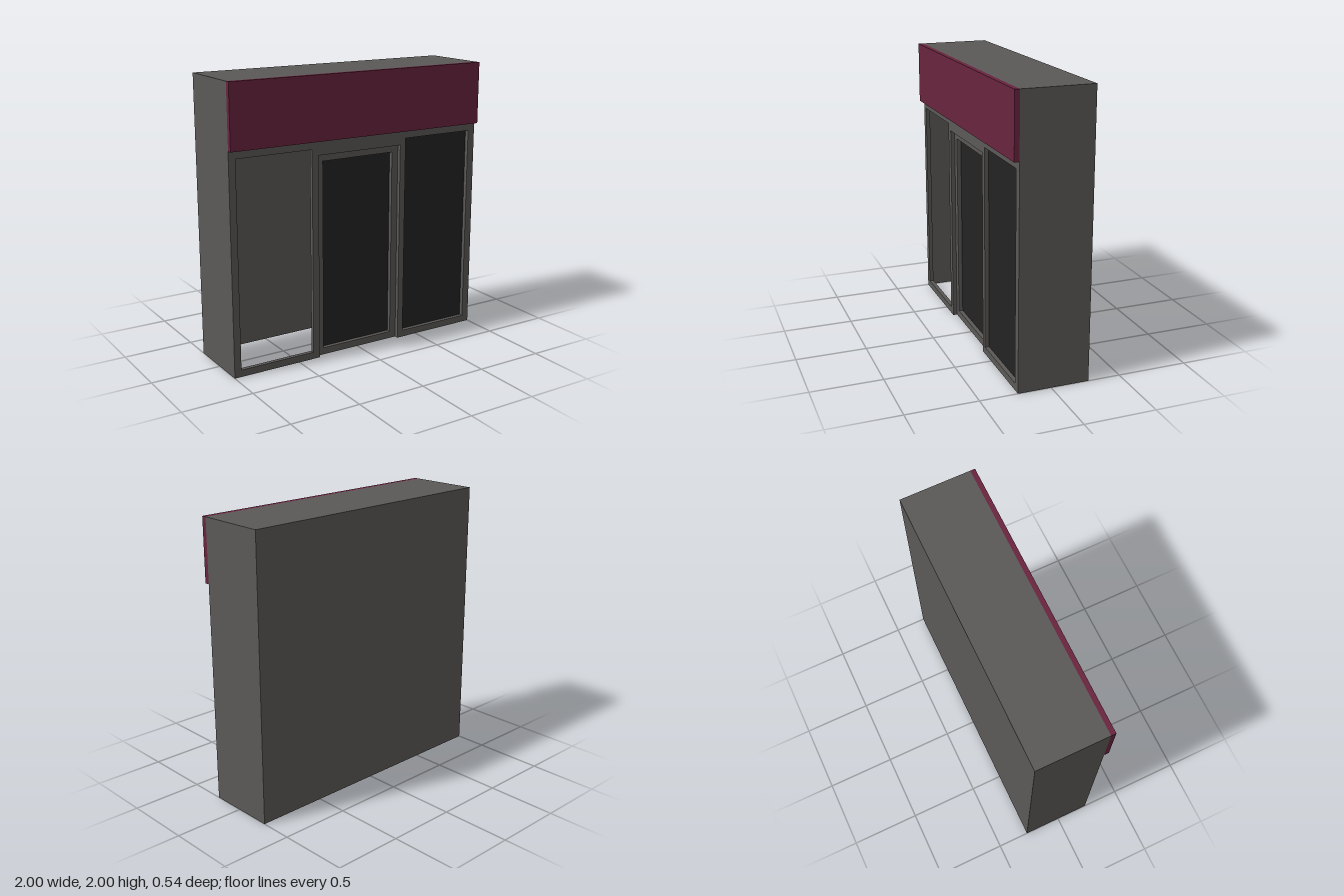
import * as THREE from 'three';

export function createModel() {
  const group = new THREE.Group();
  const wall = new THREE.MeshStandardMaterial({ name: 'grey wall', color: 0x5b5957, side: THREE.DoubleSide });
  const sign = new THREE.MeshStandardMaterial({ name: 'burgundy sign', color: 0x69243e });
  const glass = new THREE.MeshStandardMaterial({ name: 'dark glass', color: 0x232323, side: THREE.DoubleSide });

  const FRONT = 0.235, BACK = -0.27, RECESS = 0.03;
  const DEPTH = FRONT - BACK, MID = (FRONT + BACK) / 2;

  const add = (name, geometry, material, x = 0, y = 0, z = 0, rx = 0, ry = 0) => {
    const mesh = new THREE.Mesh(geometry, material);
    mesh.name = name;
    mesh.position.set(x, y, z);
    mesh.rotation.set(rx, ry, 0);
    group.add(mesh);
    return mesh;
  };

  // Rectangles are [x0, y0, x1, y1]
  const corners = ([x0, y0, x1, y1]) =>
    [[x0, y0], [x1, y0], [x1, y1], [x0, y1]].map(([x, y]) => new THREE.Vector2(x, y));

  // Flat sheet with rectangular openings
  const sheet = (name, outline, holes, z) => {
    const shape = new THREE.Shape(outline);
    for (const h of holes) shape.holes.push(new THREE.Path(corners(h).reverse()));
    add(name, new THREE.ShapeGeometry(shape), wall, 0, 0, z);
  };

  // Inward-facing sides of an opening, running back from z by the recess depth
  const reveal = (name, [x0, y0, x1, y1], z, withSill = true) => {
    const w = x1 - x0, h = y1 - y0, cx = (x0 + x1) / 2, cy = (y0 + y1) / 2, cz = z - RECESS / 2;
    const q = Math.PI / 2;
    add(name + 'SideA', new THREE.PlaneGeometry(RECESS, h), wall, x0, cy, cz, 0, q);
    add(name + 'SideB', new THREE.PlaneGeometry(RECESS, h), wall, x1, cy, cz, 0, -q);
    add(name + 'Head', new THREE.PlaneGeometry(w, RECESS), wall, cx, y1, cz, q);
    if (withSill) add(name + 'Sill', new THREE.PlaneGeometry(w, RECESS), wall, cx, y0, cz, -q);
  };

  const pane = (name, [x0, y0, x1, y1], z) =>
    add(name, new THREE.PlaneGeometry(x1 - x0, y1 - y0), glass, (x0 + x1) / 2, (y0 + y1) / 2, z);

  // Hollow shell, open underneath
  add('backWall', new THREE.PlaneGeometry(2, 2), wall, 0, 1, BACK, 0, Math.PI);
  add('leftWall', new THREE.PlaneGeometry(DEPTH, 2), wall, 1, 1, MID, 0, Math.PI / 2);
  add('rightWall', new THREE.PlaneGeometry(DEPTH, 2), wall, -1, 1, MID, 0, -Math.PI / 2);
  add('roof', new THREE.PlaneGeometry(2, DEPTH), wall, 0, 2, MID, -Math.PI / 2);

  const openWindow = [-0.95, 0.05, -0.385, 1.5];
  const glazedWindow = [0.38, 0.05, 0.945, 1.5];
  const doorway = [-0.335, 0, 0.335, 1.455];
  const doorGlass = [-0.285, 0.05, 0.285, 1.405];

  // Front wall, cut away around the doorway
  const [dx0, , dx1, dTop] = doorway;
  const facade = [[-1, 0], [dx0, 0], [dx0, dTop], [dx1, dTop], [dx1, 0], [1, 0], [1, 2], [-1, 2]]
    .map(([x, y]) => new THREE.Vector2(x, y));
  sheet('frontWall', facade, [openWindow, glazedWindow], FRONT);
  reveal('openWindowReveal', openWindow, FRONT);
  reveal('glazedWindowReveal', glazedWindow, FRONT);
  pane('windowGlass', glazedWindow, FRONT - RECESS);

  // Recessed door with its own sunken pane
  reveal('doorwayReveal', doorway, FRONT, false);
  sheet('doorFrame', corners(doorway), [doorGlass], FRONT - RECESS);
  reveal('doorGlassReveal', doorGlass, FRONT - RECESS);
  pane('doorGlass', doorGlass, FRONT - 2 * RECESS);

  // Fascia board
  add('signBoard', new THREE.BoxGeometry(2, 0.445, 0.035), sign, 0, 1.7775, FRONT + 0.0175);

  return group;
}
